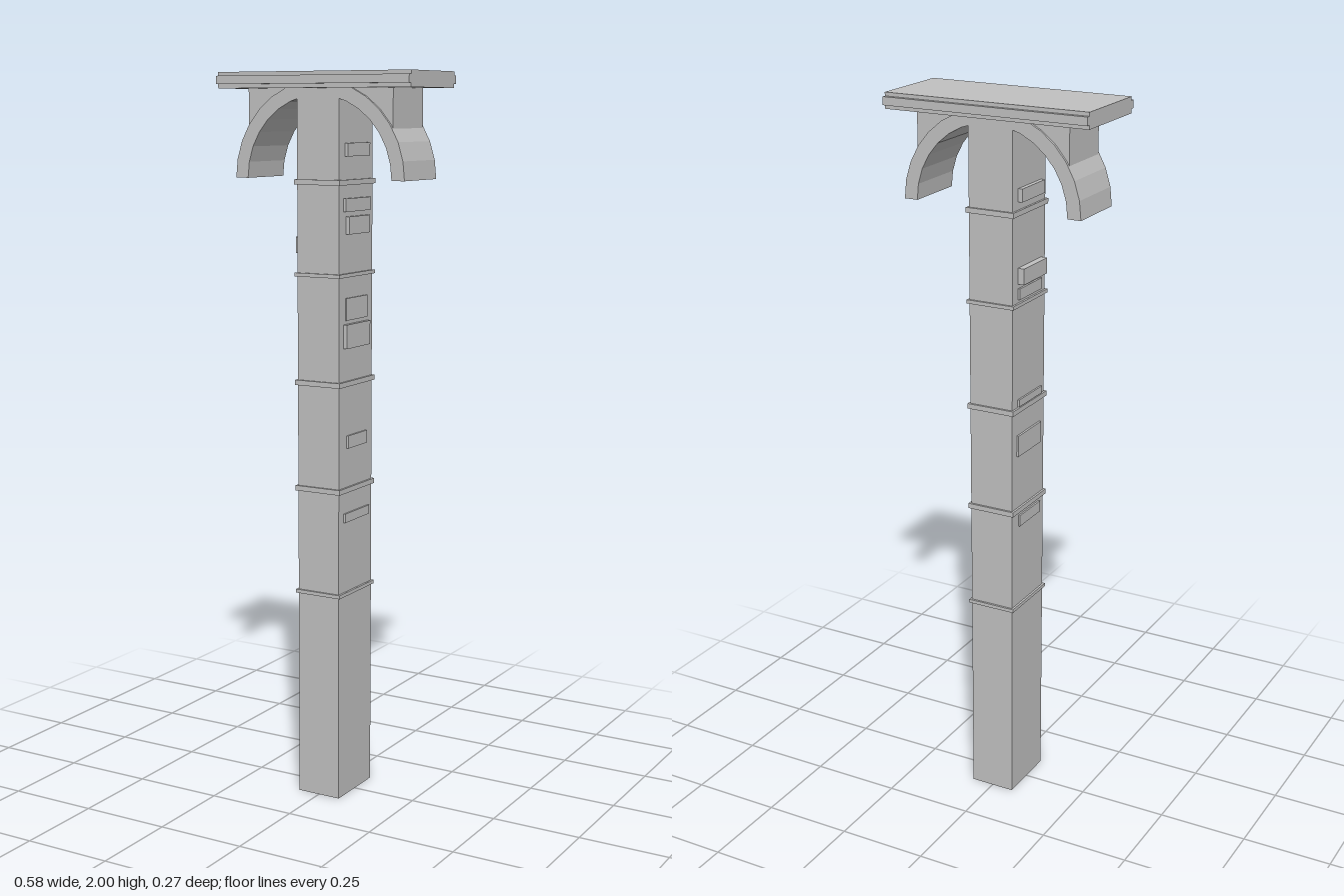
import * as THREE from 'three';

const W = 0.064, D = 0.091; // half width and half depth of the shaft
const stone = new THREE.MeshStandardMaterial({ color: 0xc0c0c0 });
stone.name = 'grey stone';

function box(parent, name, x0, x1, y0, y1, z0, z1) {
  const mesh = new THREE.Mesh(new THREE.BoxGeometry(x1 - x0, y1 - y0, z1 - z0), stone);
  mesh.position.set((x0 + x1) / 2, (y0 + y1) / 2, (z0 + z1) / 2);
  mesh.name = name;
  parent.add(mesh);
  return mesh;
}

// prism with an x-y outline, centred on z = 0
function prism(parent, name, points, halfDepth) {
  const shape = new THREE.Shape(points.map(([x, y]) => new THREE.Vector2(x, y)));
  const geo = new THREE.ExtrudeGeometry(shape, { depth: halfDepth * 2, bevelEnabled: false });
  geo.translate(0, 0, -halfDepth);
  const mesh = new THREE.Mesh(geo, stone);
  mesh.name = name;
  parent.add(mesh);
  return mesh;
}

export function createModel() {
  const model = new THREE.Group();
  model.name = 'pillar';

  box(model, 'shaft', -W, W, 0, 1.965, -D, D);

  // thin bands round the shaft
  for (const y of [0.587, 0.88, 1.173, 1.466, 1.712]) {
    const slim = y === 0.587 || y === 1.466 ? 0.005 : 0.007;
    box(model, 'band', -W - 0.006, W + 0.006, y - slim, y + slim, -D - 0.006, D + 0.006);
  }

  // top slab with a projecting moulding along its long edges
  box(model, 'slab', -0.292, 0.292, 1.957, 2, -0.122, 0.122);
  for (const s of [-1, 1]) {
    box(model, 'slabMoulding', -0.292, 0.292, 1.968, 1.99, s * 0.1265 - 0.0065, s * 0.1265 + 0.0065);
  }

  // half arches springing from both sides, built of wedge stones
  const cy = 1.72, rIn = 0.22, rOut = 0.258, steps = 7, step = Math.PI / 16;
  const at = (r, i) => [r * Math.cos(i * step), cy + r * Math.sin(i * step)];
  for (const side of [-1, 1]) {
    const arch = new THREE.Group();
    arch.name = side > 0 ? 'leftArch' : 'rightArch';
    for (let i = 0; i < steps; i++) {
      prism(arch, 'archStone', [at(rIn, i), at(rOut, i), at(rOut, i + 1), at(rIn, i + 1)], D - 0.001);
    }
    // infill between arch and slab
    const infill = [[0.05, 1.965], [0.05, 1.945]];
    for (let i = 6; i >= 2; i--) infill.push(at(0.24, i));
    infill.push([0.22, 1.83], [0.22, 1.965]);
    prism(arch, 'archInfill', infill, D - 0.008);
    if (side < 0) arch.rotation.y = Math.PI;
    model.add(arch);
  }

  // raised bricks: side, y0, y1, z0, z1, projection
  const bricks = [
    [1, 1.78, 1.815, -0.06, 0.06, 0.01],
    [1, 1.635, 1.67, -0.07, 0.066, 0.008],
    [1, 1.575, 1.622, -0.061, 0.053, 0.01],
    [1, 1.345, 1.405, -0.058, 0.056, 0.004],
    [1, 1.27, 1.335, -0.062, 0.066, 0.011],
    [1, 0.995, 1.03, -0.058, 0.048, 0.005],
    [1, 0.79, 0.815, -0.07, 0.064, 0.005],
    [-1, 1.74, 1.775, -0.06, 0.065, 0.012],
    [-1, 1.522, 1.565, -0.06, 0.07, 0.018],
    [-1, 1.48, 1.51, -0.06, 0.065, 0.006],
    [-1, 1.182, 1.202, -0.06, 0.07, 0.005],
    [-1, 1.04, 1.1, -0.065, 0.065, 0.006],
    [-1, 0.83, 0.862, -0.055, 0.065, 0.005],
  ];
  for (const [s, y0, y1, z0, z1, out] of bricks) {
    const a = s * (W - 0.01), b = s * (W + out);
    box(model, 'raisedBrick', Math.min(a, b), Math.max(a, b), y0, y1, z0, z1);
  }
  return model;
}
